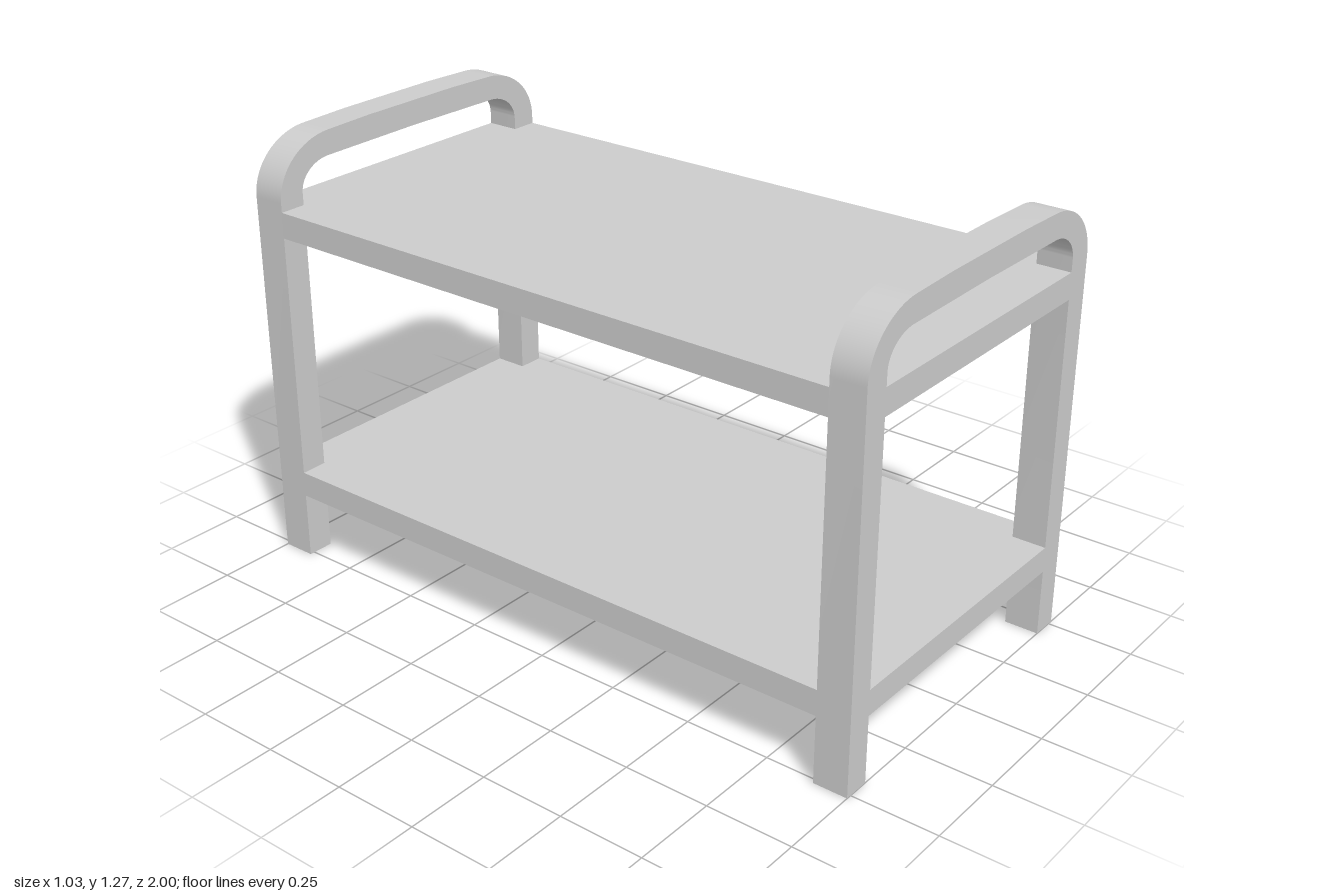
import * as THREE from 'three';
import { toCreasedNormals } from 'three/addons/utils/BufferGeometryUtils.js';

const W = 0.515, INNER = 0.435; // outer and inner half width of the frames
const D = 1, POST = 0.1;        // half depth, post depth
const material = new THREE.MeshStandardMaterial({ color: 0xcccccc });

function extrude(shape, depth) {
  return new THREE.ExtrudeGeometry(shape, { depth, bevelEnabled: false, curveSegments: 12 });
}

// Two legs joined by a round-cornered handle, as one outline
function frameGeometry() {
  const s = new THREE.Shape();
  s.moveTo(W, 0);
  s.lineTo(W, 1.1);
  s.absellipse(0.32, 1.1, W - 0.32, 0.166, 0, Math.PI / 2, false);
  s.lineTo(0.17, 1.27);
  s.lineTo(-0.17, 1.27);
  s.lineTo(-0.32, 1.266);
  s.absellipse(-0.32, 1.1, W - 0.32, 0.166, Math.PI / 2, Math.PI, false);
  s.lineTo(-W, 0);
  s.lineTo(-INNER, 0);
  s.lineTo(-INNER, 1.11);
  s.absellipse(-0.33, 1.11, INNER - 0.33, 0.083, Math.PI, Math.PI / 2, true);
  s.lineTo(0, 1.196);
  s.lineTo(0.33, 1.193);
  s.absellipse(0.33, 1.11, INNER - 0.33, 0.083, Math.PI / 2, 0, true);
  s.lineTo(INNER, 0);
  s.closePath();
  return toCreasedNormals(extrude(s, POST), 0.5);
}

// Slab with corners notched round the legs, flush with them on every side
function shelfGeometry() {
  const d = D - POST;
  const s = new THREE.Shape([
    [INNER, -D], [INNER, -d], [W, -d], [W, d], [INNER, d], [INNER, D],
    [-INNER, D], [-INNER, d], [-W, d], [-W, -d], [-INNER, -d], [-INNER, -D],
  ].map(([x, y]) => new THREE.Vector2(x, y)));
  return extrude(s, 0.075).rotateX(-Math.PI / 2);
}

export function createModel() {
  const group = new THREE.Group();
  group.name = 'twoTierTable';
  const add = (name, geometry, y, z) => {
    const mesh = new THREE.Mesh(geometry, material);
    mesh.name = name;
    mesh.position.set(0, y, z);
    group.add(mesh);
  };

  // End frames
  const frame = frameGeometry();
  add('frontFrame', frame, 0, D - POST);
  add('backFrame', frame, 0, -D);

  // Shelves
  const shelf = shelfGeometry();
  add('lowerShelf', shelf, 0.197, 0);
  add('upperShelf', shelf, 1, 0);
  return group;
}
